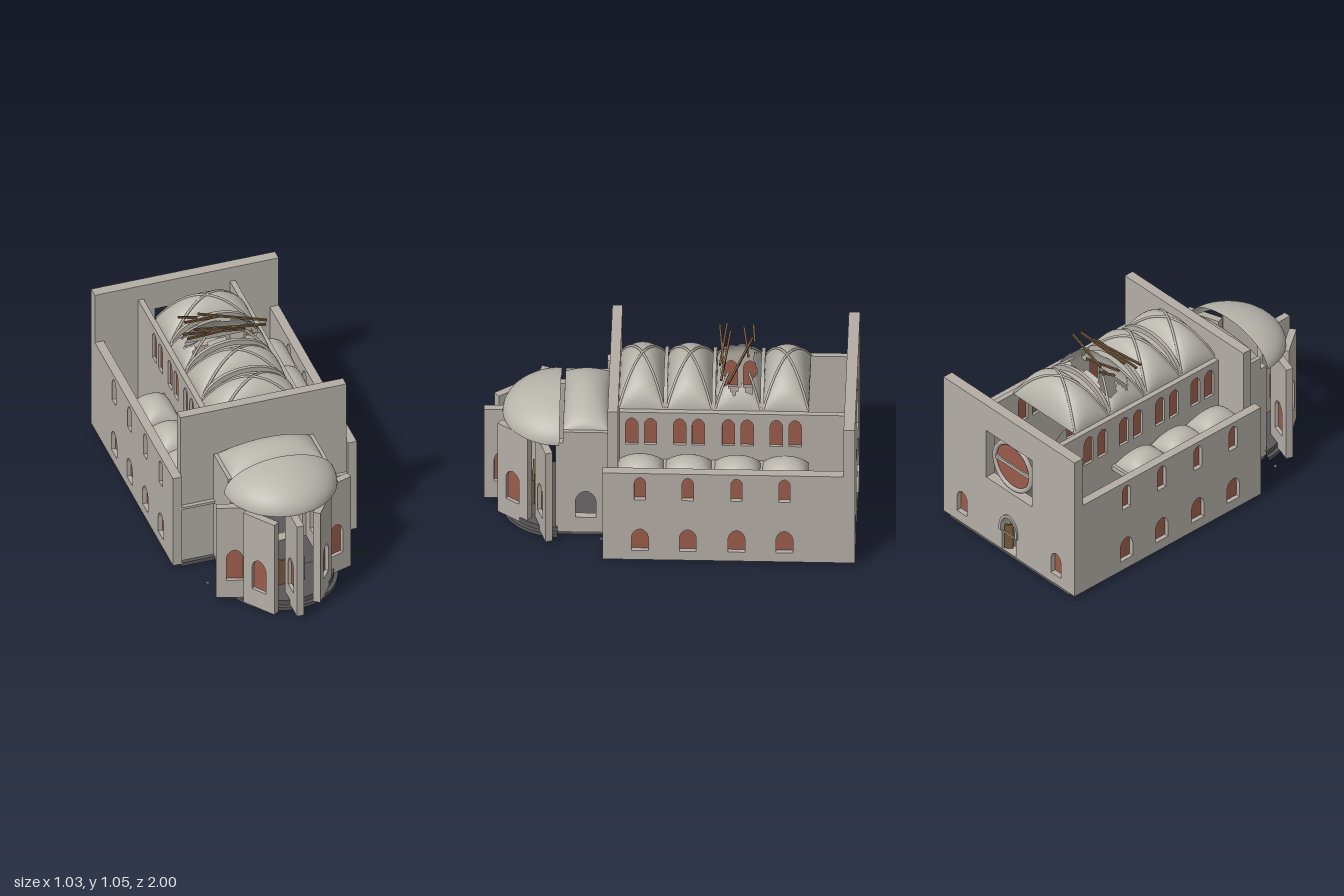
import * as THREE from 'three';

const mat = (color, side = THREE.FrontSide) => new THREE.MeshStandardMaterial({ color, side, roughness: 0.9 });
const stone = mat(0xb3ada5), shell = mat(0xb8b5ac, THREE.DoubleSide), dark = mat(0x5a5858);
const glass = mat(0x9a5c4c, THREE.DoubleSide), wood = mat(0x75593c);

let seed = 7;
const rand = () => (seed = (seed * 16807) % 2147483647) / 2147483647;

function add(parent, name, geo, m = stone, x = 0, y = 0, z = 0) {
  const mesh = new THREE.Mesh(geo, m);
  mesh.name = name;
  mesh.position.set(x, y, z);
  parent.add(mesh);
  return mesh;
}

// Box given by its limits
function box(parent, name, x0, x1, y0, y1, z0, z1, m = stone) {
  return add(parent, name, new THREE.BoxGeometry(x1 - x0, y1 - y0, z1 - z0), m, (x0 + x1) / 2, (y0 + y1) / 2, (z0 + z1) / 2);
}

// Box beam between two points
function beam(parent, name, a, b, t, m = wood) {
  const p = new THREE.Vector3(...a), q = new THREE.Vector3(...b);
  const mesh = add(parent, name, new THREE.BoxGeometry(t, t, p.distanceTo(q)), m);
  mesh.position.copy(p).lerp(q, 0.5);
  mesh.lookAt(q);
}

// Slightly pointed arch outline
function arch(s, cx, y, w, h) {
  const r = w / 2, spring = y + h - r * 1.25, top = y + h;
  s.moveTo(cx - r, y);
  s.lineTo(cx + r, y);
  s.lineTo(cx + r, spring);
  s.quadraticCurveTo(cx + r * 0.88, top - r * 0.22, cx, top);
  s.quadraticCurveTo(cx - r * 0.88, top - r * 0.22, cx - r, spring);
  s.lineTo(cx - r, y);
  return s;
}

// Wall along local x with arched openings [centre, sill, width, height, glazed]
function wall(parent, name, x0, x1, y0, y1, t, openings, extraHoles = []) {
  const g = new THREE.Group();
  g.name = name;
  const s = new THREE.Shape([[x0, y0], [x1, y0], [x1, y1], [x0, y1]].map(p => new THREE.Vector2(...p)));
  s.holes.push(...extraHoles);
  for (const [cx, y, w, h, glazed] of openings) {
    s.holes.push(arch(new THREE.Path(), cx, y, w, h));
    if (glazed) add(g, 'windowGlass', new THREE.ShapeGeometry(arch(new THREE.Shape(), cx, y, w, h), 8), glass, 0, 0, t / 2);
  }
  add(g, 'masonry', new THREE.ExtrudeGeometry(s, { depth: t, bevelEnabled: false, curveSegments: 8 }));
  parent.add(g);
  return g;
}

// Domed vault over a rectangle; 'keep' may leave out collapsed cells
const vaultHeight = (u, v) => Math.sqrt(Math.max(0, (1 - u * u) * (1 - v * v)));
function vault(parent, name, cx, cz, rx, rz, y, h, keep = () => true) {
  const n = 28, pos = [], idx = [];
  const at = i => Math.sin((i / n - 0.5) * Math.PI);
  for (let j = 0; j <= n; j++) for (let i = 0; i <= n; i++)
    pos.push(cx + rx * at(i), y + h * vaultHeight(at(i), at(j)), cz + rz * at(j));
  for (let j = 0; j < n; j++) for (let i = 0; i < n; i++) {
    if (!keep(at(i + 0.5), at(j + 0.5))) continue;
    const a = j * (n + 1) + i, b = a + 1, c = a + n + 1, d = c + 1;
    idx.push(a, c, b, b, c, d);
  }
  const geo = new THREE.BufferGeometry();
  geo.setAttribute('position', new THREE.Float32BufferAttribute(pos, 3));
  geo.setIndex(idx);
  geo.computeVertexNormals();
  add(parent, name, geo, shell);
}

// Diagonal rib following a vault from u0 to u1
function rib(parent, cx, cz, rx, rz, y, h, sign, u0, u1) {
  const pts = [];
  for (let i = 0; i <= 14; i++) {
    const u = u0 + (u1 - u0) * i / 14;
    pts.push(new THREE.Vector3(cx + rx * u, y + h * vaultHeight(u, u), cz + rz * u * sign));
  }
  add(parent, 'vaultRib', new THREE.TubeGeometry(new THREE.CatmullRomCurve3(pts), 28, 0.007, 6), stone);
}

export function createModel() {
  const root = new THREE.Group();
  root.name = 'ruinedChurch';
  const bays = [0.155, -0.1, -0.36, -0.615];

  // Floors
  box(root, 'naveFloor', -0.47, 0.47, 0, 0.022, -0.985, 0.35, dark);
  box(root, 'choirFloor', -0.28, 0.28, 0, 0.022, 0.35, 0.6, dark);
  add(root, 'apseFloor', new THREE.CylinderGeometry(0.31, 0.31, 0.022, 24, 1, false, -Math.PI / 2, Math.PI), dark, 0, 0.011, 0.6);
  add(root, 'apseStep', new THREE.CylinderGeometry(0.29, 0.29, 0.03, 16, 1, false, -Math.PI / 2, Math.PI), dark, 0, 0.037, 0.6);

  // Outer aisle walls and clerestory walls over the arcades
  const aisleWindows = bays.flatMap(z => [[-z, 0.08, 0.09, 0.145, true], [-z, 0.42, 0.06, 0.15, true]]);
  const naveOpenings = bays.flatMap(z => [[-z, 0.03, 0.18, 0.36, false],
    [-z - 0.05, 0.607, 0.066, 0.175, true], [-z + 0.05, 0.607, 0.066, 0.175, true]]);
  for (const side of [1, -1]) {
    const outer = wall(root, 'aisleWall', -0.355, 0.93, 0.02, 0.597, 0.05, aisleWindows);
    outer.rotation.y = Math.PI / 2;
    outer.position.x = side > 0 ? 0.467 : -0.517;
    const inner = wall(root, 'clerestoryWall', -0.27, 0.93, 0.02, 0.82, 0.03, naveOpenings);
    inner.rotation.y = Math.PI / 2;
    inner.position.x = side > 0 ? 0.243 : -0.273;
    const choir = wall(root, 'choirWall', -0.57, -0.33, 0.02, 0.685, 0.04, [[-0.45, 0.115, 0.11, 0.175, false]]);
    choir.rotation.y = Math.PI / 2;
    choir.position.x = side > 0 ? 0.24 : -0.28;
    box(root, 'choirWallEnd', side > 0 ? 0.24 : -0.28, side > 0 ? 0.28 : -0.24, 0.02, 0.612, 0.57, 0.61);
    box(root, 'stringCourse', side > 0 ? 0.28 : -0.47, side > 0 ? 0.47 : -0.28, 0.375, 0.39, 0.33, 0.352);
  }

  // Entrance front with rose window and portal
  const square = new THREE.Path([[-0.18, 0.43], [0.18, 0.43], [0.18, 0.74], [-0.18, 0.74]].map(p => new THREE.Vector2(...p)));
  wall(root, 'entranceFront', -0.517, 0.517, 0.02, 0.91, 0.06,
    [[0, 0.024, 0.11, 0.235, false], [0.37, 0.08, 0.08, 0.145, true], [-0.37, 0.08, 0.08, 0.145, true]], [square]).position.z = -0.99;
  add(root, 'roseRing', new THREE.TorusGeometry(0.143, 0.014, 8, 40), stone, 0, 0.585, -0.96);
  for (const s of [0, Math.PI]) {
    const half = add(root, 'roseGlass', new THREE.CircleGeometry(0.14, 24, 0.12, Math.PI - 0.24), glass, 0, 0.585, -0.96);
    half.rotation.z = s;
  }
  box(root, 'roseBar', -0.14, 0.14, 0.575, 0.595, -0.968, -0.952);
  const hood = arch(new THREE.Shape(), 0, 0.15, 0.14, 0.125);
  hood.holes.push(arch(new THREE.Path(), 0, 0.151, 0.11, 0.108));
  add(root, 'portalHood', new THREE.ExtrudeGeometry(hood, { depth: 0.01, bevelEnabled: false }), stone, 0, 0, -1);
  const leaf = box(root, 'doorLeaf', 0.01, 0.055, 0.024, 0.18, -0.965, -0.955, wood);
  leaf.rotation.y = 0.7;
  box(root, 'galleryBeam', -0.243, 0.243, 0.39, 0.42, -0.78, -0.755);
  for (const s of [1, -1]) beam(root, 'galleryTimber', [s * 0.06, 0.385, -0.755], [s * 0.24, 0.385, -0.755], 0.014);

  // Tall cross wall with the choir arch
  wall(root, 'crossWall', -0.467, 0.467, 0.02, 0.97, 0.055, [[0, 0.024, 0.44, 0.6, false]]).position.z = 0.273;

  // Nave vaults, ribs and transverse arches; the third bay has collapsed
  bays.forEach((z, i) => {
    const broken = i === 2;
    vault(root, 'naveVault', 0, z, 0.243, 0.122, 0.82, 0.19,
      (u, v) => !broken || Math.abs(u) > 0.8 + 0.08 * Math.sin(9 * v) || Math.abs(v) > 0.68 + 0.1 * Math.sin(7 * u));
    for (const s of [1, -1]) {
      if (!broken) rib(root, 0, z, 0.243, 0.122, 0.822, 0.19, s, -0.98, 0.98);
      else for (const e of [1, -1]) rib(root, 0, z, 0.243, 0.122, 0.822, 0.19, s, e * 0.98, e * 0.45);
    }
    for (const s of [1, -1])
      if (s > 0 || i < 3) vault(root, 'aisleVault', s * 0.37, z, 0.097, 0.122, 0.5, 0.095);
  });
  for (const z of [0.027, -0.23, -0.488]) {
    const s = new THREE.Shape();
    s.absellipse(0, 0.8, 0.245, 0.18, 0, Math.PI);
    s.absellipse(0, 0.8, 0.215, 0.15, Math.PI, 0, true);
    add(root, 'transverseArch', new THREE.ExtrudeGeometry(s, { depth: 0.02, bevelEnabled: false, curveSegments: 20 }), stone, 0, 0, z - 0.01);
    for (const x of [-0.37, 0.37]) box(root, 'aisleRoofRib', x - 0.097, x + 0.097, 0.48, 0.51, z - 0.01, z + 0.01);
  }

  // Choir vault and apse half dome
  vault(root, 'choirVault', 0, 0.45, 0.26, 0.122, 0.68, 0.105);
  add(root, 'apseDome', new THREE.SphereGeometry(1, 32, 14, 0, Math.PI, 0, Math.PI / 2), shell, 0, 0.615, 0.59).scale.set(0.31, 0.168, 0.31);

  // Freestanding apse wall panels, set in a fan
  for (const deg of [-72, -36, 0, 36, 72]) {
    const a = deg * Math.PI / 180;
    const pivot = new THREE.Group();
    pivot.name = 'apsePanel';
    pivot.position.set(0.3 * Math.sin(a), 0, 0.6 + 0.3 * Math.cos(a));
    pivot.rotation.y = Math.PI / 2 - a;
    wall(pivot, 'panelWall', -0.1, 0.1, 0.022, 0.613, 0.04, [[0, 0.135, 0.09, 0.2, true]]).position.z = -0.04;
    root.add(pivot);
  }
  box(root, 'altarScreen', -0.097, 0.09, 0.05, 0.21, 0.728, 0.74, wood);

  // Fallen roof timbers over the broken bay
  [[[-0.11, 1.04, -0.43], [0.24, 1.0, -0.31]], [[-0.24, 1.035, -0.29], [0.1, 1.012, -0.26]],
    [[-0.22, 1.045, -0.43], [-0.11, 1.01, -0.44]], [[-0.2, 1.04, -0.38], [0.02, 1.012, -0.41]],
    [[-0.23, 1.03, -0.25], [0.12, 1.02, -0.28]], [[-0.17, 1.035, -0.31], [0.22, 1.005, -0.27]]]
    .forEach(([a, b]) => beam(root, 'roofTimber', a, b, 0.011));

  // Stair in the open aisle bay
  for (let i = 0; i < 18; i++) {
    const z = -0.49 - i * 0.0195, y = 0.04 + i * 0.02;
    box(root, 'stairStep', -0.46, -0.38, y - 0.02, y, z - 0.0195, z);
  }

  // Rubble inside, with two stones outside
  const rubble = (x, z, r) => {
    const m = add(root, 'rubble', new THREE.DodecahedronGeometry(r), stone, x, 0.022 + r * 0.6, z);
    m.rotation.set(rand() * 3, rand() * 3, rand() * 3);
  };
  for (let i = 0; i < 22; i++) rubble((rand() - 0.5) * 0.4, -0.36 + (rand() - 0.5) * 0.22, 0.006 + rand() * 0.01);
  for (let i = 0; i < 12; i++) rubble(-0.36 + (rand() - 0.5) * 0.14, -0.55 - rand() * 0.25, 0.008 + rand() * 0.014);
  rubble(-0.395, 0.57, 0.009);
  rubble(0.35, 0.365, 0.009);
  return root;
}
